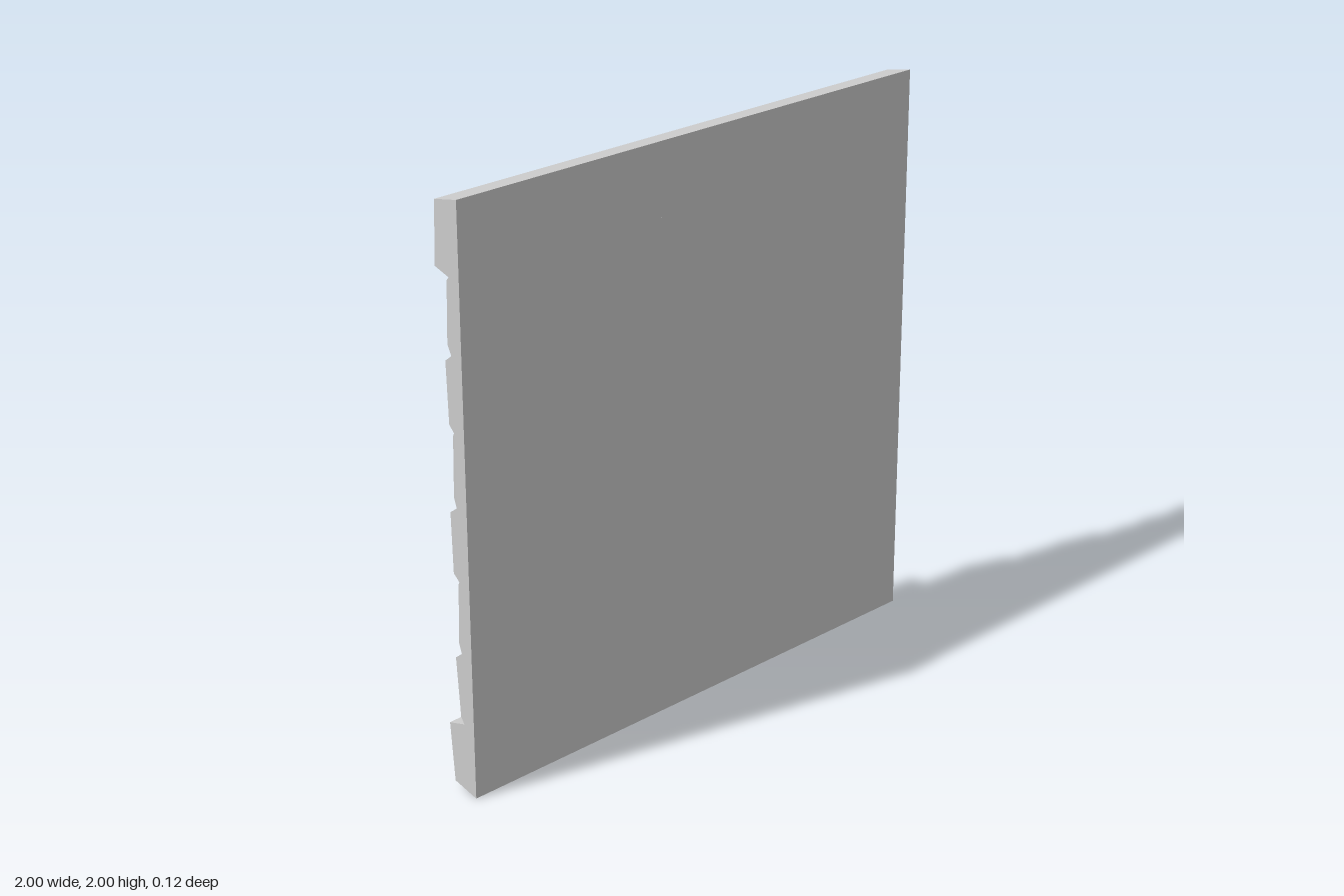
import * as THREE from 'three';

const FRONT = 0.0625;   // smooth front face
const MORTAR = 0.016;   // depth of the joints on the brick side
const ROW = 0.25;
const INSET_X = 0.018, INSET_Y = 0.022;

const material = new THREE.MeshStandardMaterial({ color: 0xcccccc, flatShading: true });

// Skin a closed solid through rings of [x, y, z], ordered from +x to -x.
function loft(name, rings) {
  const pos = [];
  const tri = (a, b, c) => pos.push(...a, ...b, ...c);
  const n = rings[0].length, last = rings[rings.length - 1];
  for (let i = 0; i < rings.length - 1; i++) {
    for (let k = 0; k < n; k++) {
      const m = (k + 1) % n, p = rings[i], q = rings[i + 1];
      tri(p[k], p[m], q[k]);
      tri(p[m], q[m], q[k]);
    }
  }
  for (let k = 1; k < n - 1; k++) {
    tri(rings[0][0], rings[0][k + 1], rings[0][k]);
    tri(last[0], last[k], last[k + 1]);
  }
  const g = new THREE.BufferGeometry();
  g.setAttribute('position', new THREE.Float32BufferAttribute(pos, 3));
  g.computeVertexNormals();
  const mesh = new THREE.Mesh(g, material);
  mesh.name = name;
  return mesh;
}

// Rows from the top: how far each brick stands out at its +x and -x end,
// and the lean (positive: upper edge stands out more).
const ROWS = [
  { lean: -0.1, ends: [[0.04, 0.015], [0.036, 0.025], [0.014, 0.02], [0.022, 0.035]] },
  { lean: 0.15, ends: [[0.023, 0.014], [0.028, 0.025], [0.018, 0.012], [0.018, 0.015], [0.018, 0.025]] },
  { lean: -0.1, ends: [[0.042, 0.014], [0.028, 0.022], [0.05, 0.025], [0.016, 0.03]] },
  { lean: 0.1, ends: [[0.028, 0.014], [0.028, 0.034], [0.028, 0.025], [0.028, 0.02], [0.02, 0.028]] },
  { lean: -0.15, ends: [[0.05, 0.03], [0.036, 0.025], [0.052, 0.035], [0.016, 0.03]] },
  { lean: 0.35, ends: [[0.033, 0.016], [0.028, 0.028], [0.014, 0.016], [0.02, 0.02], [0.02, 0.022]] },
];

// Bevelled brick between x0 (+x end) and x1 (-x end)
function brick(x0, x1, top, [d0, d1], lean, cut0, cut1) {
  const bottom = top - ROW;
  const ring = (x, xOuter, d) => [
    [x, top, MORTAR],
    [xOuter, top - INSET_Y, MORTAR - d * (1 + lean)],
    [xOuter, bottom + INSET_Y, MORTAR - d * (1 - lean)],
    [x, bottom, MORTAR],
  ];
  return loft('brick', [
    ring(x0, x0 - (cut0 ? 0 : INSET_X), d0),
    ring(x1, x1 + (cut1 ? 0 : INSET_X), d1),
  ]);
}

export function createModel() {
  const model = new THREE.Group();
  model.name = 'brickWallPanel';

  // Backing slab
  const slab = new THREE.Mesh(new THREE.BoxGeometry(2, 6 * ROW, FRONT - MORTAR), material);
  slab.name = 'slab';
  slab.position.set(0, 1, (FRONT + MORTAR) / 2);
  model.add(slab);

  // Brick courses, every second one starting and ending with a half brick
  ROWS.forEach(({ lean, ends }, r) => {
    const course = new THREE.Group();
    course.name = 'brickCourse';
    const half = r % 2 === 1;
    ends.forEach((d, i) => {
      const start = 1 - i * 0.5 + (half ? 0.25 : 0);
      const x0 = Math.min(1, start), x1 = Math.max(-1, start - 0.5);
      course.add(brick(x0, x1, 1.75 - r * ROW, d, lean,
        half && i === 0, half && i === ends.length - 1));
    });
    model.add(course);
  });

  // Top beam: [x, z of lower edge]
  const topEdge = [[1, -0.049], [0.5, -0.046], [0, -0.048], [-0.5, -0.046], [-1, -0.046]];
  model.add(loft('topBeam', topEdge.map(([x, z]) => [
    [x, 2, FRONT], [x, 1.98, -0.038], [x, 1.77, z], [x, 1.75, MORTAR], [x, 1.75, FRONT],
  ])));

  // Bottom beam: [x, z of upper edge], gently wavy
  const bottomEdge = [[1, -0.056], [0.75, -0.045], [0.5, -0.053], [0, -0.055],
    [-0.25, -0.06], [-0.8, -0.0625], [-1, -0.055]];
  model.add(loft('bottomBeam', bottomEdge.map(([x, z]) => [
    [x, 0.25, FRONT], [x, 0.25, MORTAR], [x, 0.23, z], [x, 0.025, -0.038], [x, 0, FRONT],
  ])));

  return model;
}
